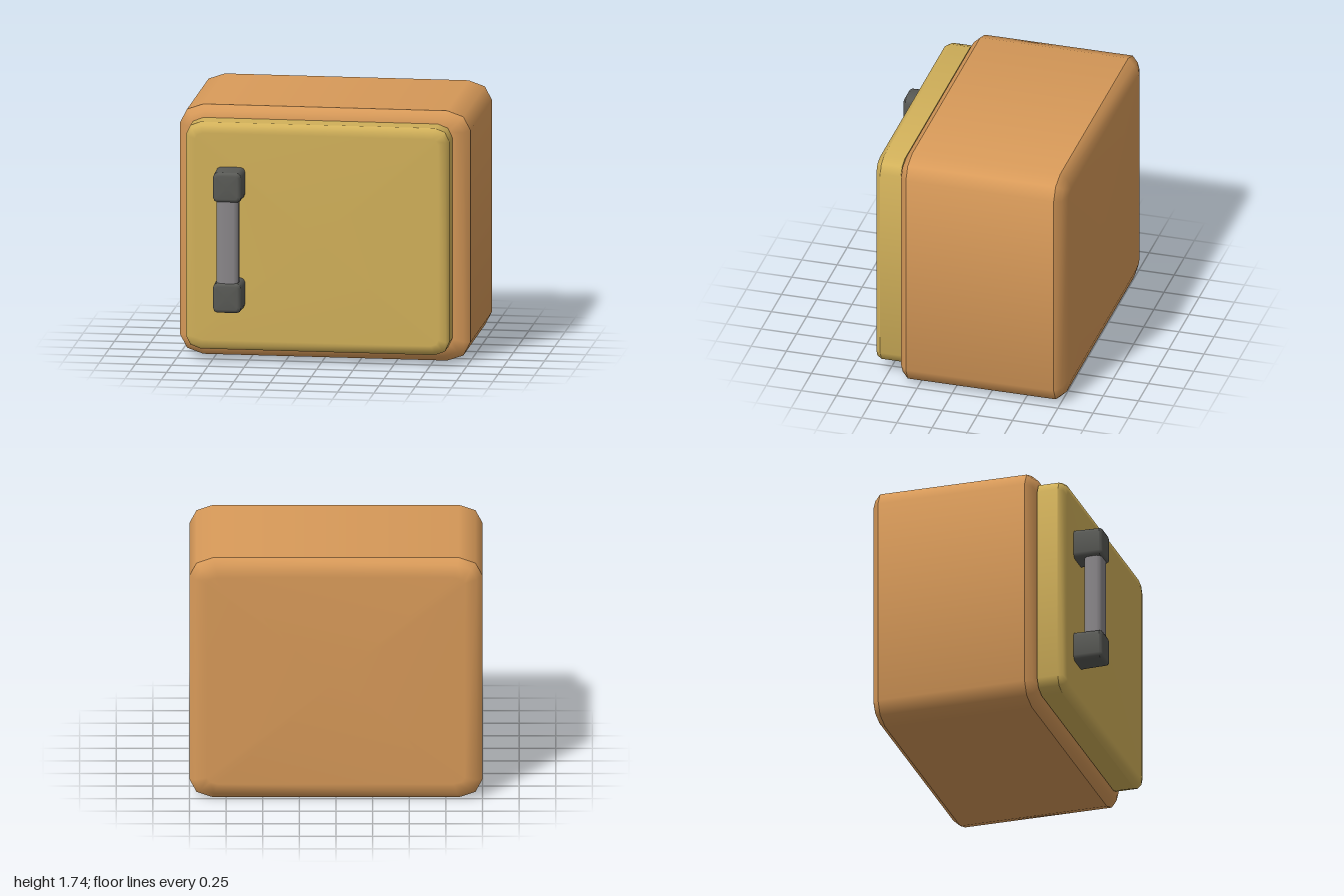
import * as THREE from 'three';
import { mergeGeometries } from 'three/addons/utils/BufferGeometryUtils.js';

// Rectangle outline with two-step rounded corners, inset by d, counter-clockwise seen from +z
function outline({ x0, x1, y0, y1, rx, ry }, d) {
  const cx = (x0 + x1) / 2, cy = (y0 + y1) / 2;
  const hx = (x1 - x0) / 2 - d, hy = (y1 - y0) / 2 - d;
  const a = Math.max(rx - d * 0.7, rx * 0.3), b = Math.max(ry - d * 0.7, ry * 0.3);
  const quarter = [[hx, hy - b], [hx - a * 0.3, hy - b * 0.3], [hx - a, hy]];
  const flipped = quarter.slice().reverse();
  return [
    ...quarter,
    ...flipped.map(([x, y]) => [-x, y]),
    ...quarter.map(([x, y]) => [-x, -y]),
    ...flipped.map(([x, y]) => [x, -y]),
  ].map(([x, y]) => [x + cx, y + cy]);
}

function makeGeometry(points, index, normals) {
  const g = new THREE.BufferGeometry();
  g.setAttribute('position', new THREE.Float32BufferAttribute(points, 3));
  g.setIndex(index);
  if (normals) g.setAttribute('normal', new THREE.Float32BufferAttribute(normals, 3));
  else g.computeVertexNormals();
  return g;
}

// Side wall between two [z, inset] sections, smooth around its corners
function wall(rect, back, front) {
  const points = [], normals = [], index = [];
  for (const [z, d] of [back, front]) {
    const ring = outline(rect, d), n = ring.length;
    ring.forEach(([x, y], i) => {
      const p = ring[(i + n - 1) % n], q = ring[(i + 1) % n];
      const before = new THREE.Vector2(y - p[1], p[0] - x).normalize();
      const after = new THREE.Vector2(q[1] - y, x - q[0]).normalize();
      const m = before.add(after).normalize();
      points.push(x, y, z);
      normals.push(m.x, m.y, 0);
    });
  }
  const n = points.length / 6;
  for (let i = 0; i < n; i++) {
    const j = (i + 1) % n;
    index.push(i, j, n + j, i, n + j, n + i);
  }
  return makeGeometry(points, index, normals);
}

// Bevelled end built from [z, inset] sections and closed with a fan
function cap(rect, sections, facing) {
  const points = [], index = [];
  const tri = (a, b, c) => (facing > 0 ? index.push(a, b, c) : index.push(a, c, b));
  for (const [z, d] of sections) outline(rect, d).forEach(([x, y]) => points.push(x, y, z));
  const n = 12, last = (sections.length - 1) * n, centre = last + n;
  points.push((rect.x0 + rect.x1) / 2, (rect.y0 + rect.y1) / 2, sections[sections.length - 1][0]);
  for (let i = 0; i < n; i++) {
    const j = (i + 1) % n;
    for (let s = 0; s < last; s += n) {
      tri(s + i, s + j, s + n + j);
      tri(s + i, s + n + j, s + n + i);
    }
    tri(last + i, last + j, centre);
  }
  return makeGeometry(points, index);
}

function solid(rect, backSections, frontSections) {
  return mergeGeometries([
    wall(rect, backSections[0], frontSections[0]),
    cap(rect, backSections, -1),
    cap(rect, frontSections, 1),
  ]);
}

export function createModel() {
  const group = new THREE.Group();
  const material = (name, color) => {
    const m = new THREE.MeshStandardMaterial({ color });
    m.name = name;
    return m;
  };
  const orange = material('orange casing', 0xd89a59);
  const yellow = material('yellow door', 0xd2b15a);
  const darkGrey = material('dark grey mounts', 0x595a56);
  const grey = material('grey bar', 0x8a878a);
  const add = (name, geometry, mat) => {
    const mesh = new THREE.Mesh(geometry, mat);
    mesh.name = name;
    group.add(mesh);
  };

  // Cabinet with bevelled front and back
  add('cabinet', solid(
    { x0: -1, x1: 1, y0: 0, y1: 1.74, rx: 0.16, ry: 0.13 },
    [[-0.72, 0], [-0.765, 0.04], [-0.79, 0.12]],
    [[0.33, 0], [0.375, 0.04], [0.4, 0.12]],
  ), orange);

  // Door, slightly off centre, flat at the back
  add('door', solid(
    { x0: -0.93, x1: 0.885, y0: 0.08, y1: 1.66, rx: 0.1, ry: 0.09 },
    [[0.398, 0]],
    [[0.545, 0], [0.578, 0.02], [0.59, 0.07]],
  ), yellow);

  // Handle mounts, tapering a little to the front
  for (const [name, y] of [['upperHandleMount', 1.252], ['lowerHandleMount', 0.483]]) {
    add(name, solid(
      { x0: -0.715, x1: -0.515, y0: y - 0.107, y1: y + 0.107, rx: 0.03, ry: 0.035 },
      [[0.585, 0]],
      [[0.77, 0.004], [0.784, 0.012], [0.79, 0.028]],
    ), darkGrey);
  }

  // Upright bar between the mounts
  const bar = solid(
    { x0: -0.69, x1: -0.54, y0: -0.775, y1: -0.65, rx: 0.03, ry: 0.03 },
    [[0.55, 0]], [[1.18, 0]],
  );
  bar.rotateX(-Math.PI / 2);
  add('handleBar', bar, grey);

  return group;
}
